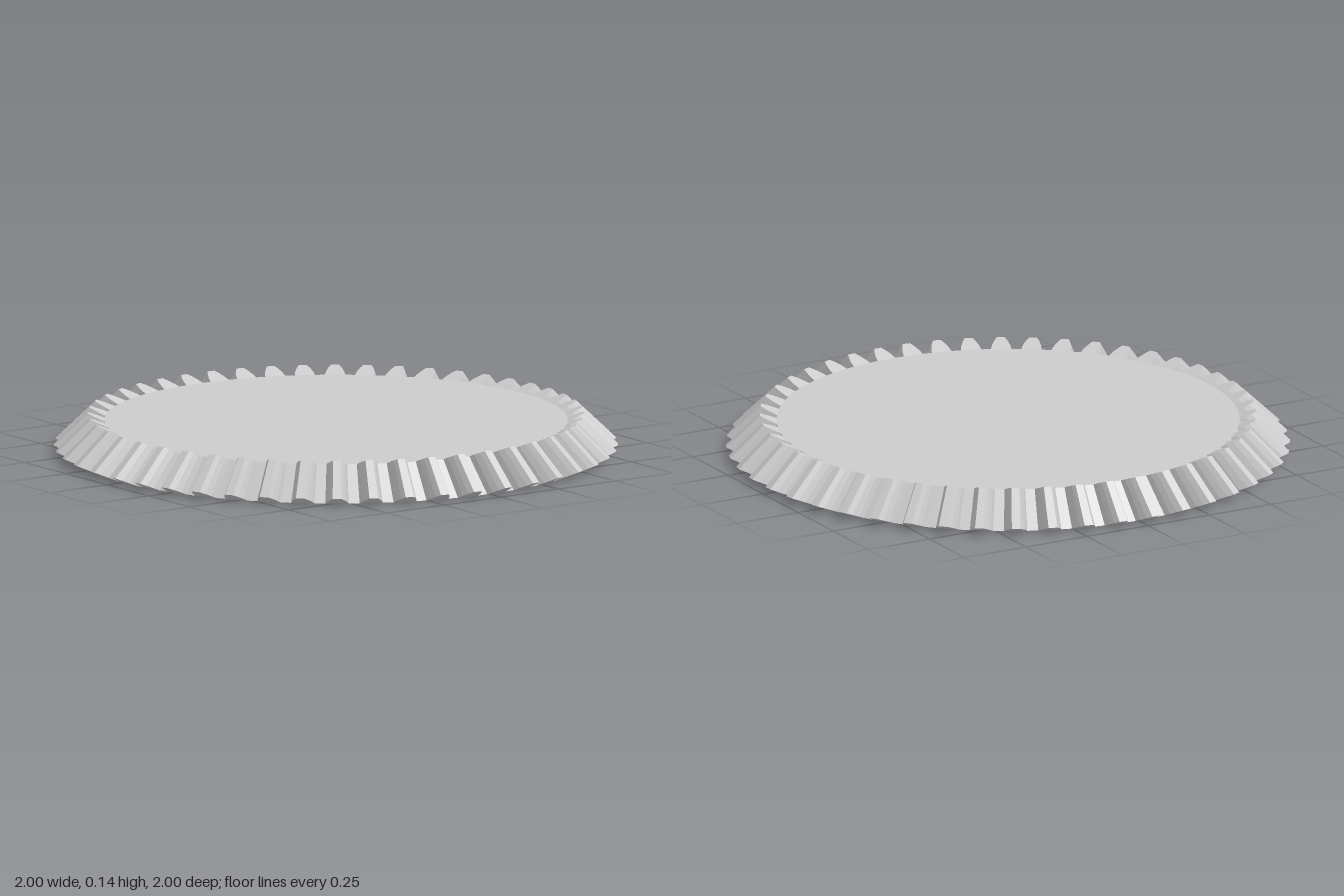
import * as THREE from 'three';

const TEETH = 48;
const PITCH = (Math.PI * 2) / TEETH;
const PHASE = -PITCH / 4;

// Half tooth outline: [offset in pitches, height from root 0 to tip 1]
const HALF = [[-0.34, 0], [-0.29, 0.35], [-0.21, 0.7], [-0.12, 1]];
const TOOTH = [...HALF, ...HALF.map(([a, h]) => [-a, h]).reverse()];

// Whole outline around the gear as [angle, height]
const OUTLINE = [];
for (let i = 0; i < TEETH; i++) {
  for (const [a, h] of TOOTH) OUTLINE.push([PHASE + (i + a) * PITCH, h]);
}

// Radius and height of root and tip at the wide and narrow ends of the teeth
const OUTER = { root: [0.93, 0], tip: [1, 0.03] };
const INNER = { root: [0.82, 0.12], tip: [0.88, 0.145] };

// Closed ring of points; useHeight false keeps it on the root circle
function ring(end, useHeight) {
  return OUTLINE.map(([t, h]) => {
    const k = useHeight ? h : 0;
    const r = THREE.MathUtils.lerp(end.root[0], end.tip[0], k);
    const y = THREE.MathUtils.lerp(end.root[1], end.tip[1], k);
    return new THREE.Vector3(r * Math.cos(t), y, r * Math.sin(t));
  });
}

function centre(y) {
  return OUTLINE.map(() => new THREE.Vector3(0, y, 0));
}

// Band of faces from ring a to ring b, skipping empty triangles
function band(a, b) {
  const points = [];
  const add = (p, q, r) => {
    if (p.distanceTo(q) > 1e-6 && q.distanceTo(r) > 1e-6 && r.distanceTo(p) > 1e-6) points.push(p, q, r);
  };
  for (let i = 0; i < a.length; i++) {
    const j = (i + 1) % a.length;
    add(a[i], b[i], b[j]);
    add(a[i], b[j], a[j]);
  }
  const geometry = new THREE.BufferGeometry().setFromPoints(points);
  geometry.computeVertexNormals();
  return geometry;
}

export function createModel() {
  const group = new THREE.Group();
  group.name = 'bevelGear';
  const steel = new THREE.MeshStandardMaterial({ color: 0xcccccc });
  steel.name = 'light grey steel';

  const outerRoot = ring(OUTER, false);
  const outerTeeth = ring(OUTER, true);
  const innerTeeth = ring(INNER, true);
  const innerRoot = ring(INNER, false);

  const parts = {
    bottomDisc: [centre(0), outerRoot],
    toothBacks: [outerRoot, outerTeeth],
    toothFlanks: [outerTeeth, innerTeeth],
    toothInnerEnds: [innerTeeth, innerRoot],
    topDisc: [innerRoot, centre(INNER.root[1])],
  };
  for (const [name, [a, b]] of Object.entries(parts)) {
    const mesh = new THREE.Mesh(band(a, b), steel);
    mesh.name = name;
    group.add(mesh);
  }
  return group;
}
